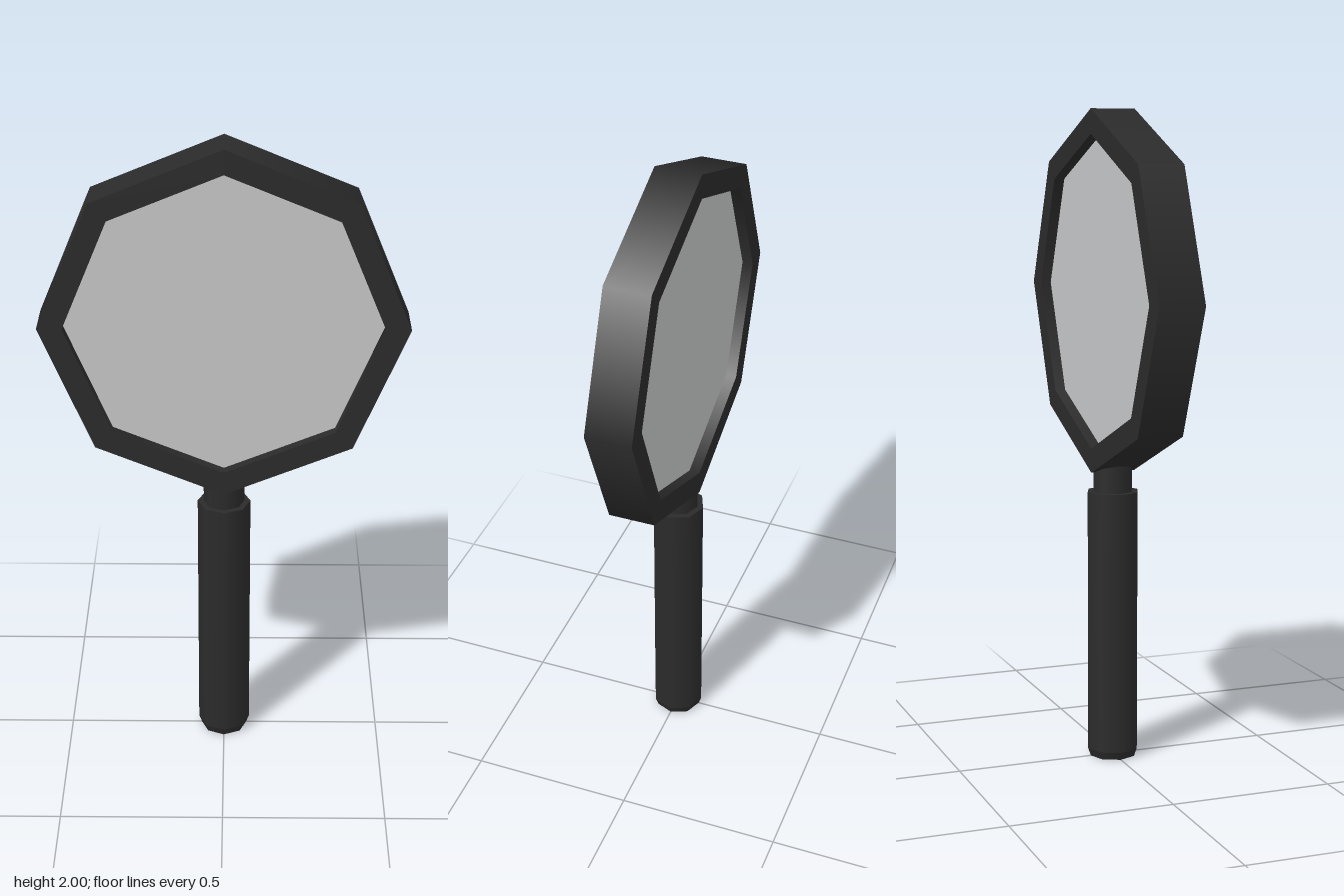
import * as THREE from 'three';
import { mergeGeometries } from 'three/addons/utils/BufferGeometryUtils.js';

const SIDES = 8;

// Revolves each profile segment separately: smooth around the axis, sharp between bands.
function turned(profile) {
  const bands = [];
  for (let i = 0; i < profile.length - 1; i++) {
    const pts = [profile[i], profile[i + 1]].map(([r, y]) => new THREE.Vector2(r, y));
    bands.push(new THREE.LatheGeometry(pts, SIDES));
  }
  return mergeGeometries(bands);
}

export function createModel() {
  const black = new THREE.MeshStandardMaterial({ color: 0x2b2b2b });
  black.name = 'black plastic';
  const glass = new THREE.MeshStandardMaterial({ color: 0xc6c7c8 });
  glass.name = 'pale glass';

  const group = new THREE.Group();
  group.name = 'magnifyingGlass';
  const add = (name, geometry, material, y = 0) => {
    const mesh = new THREE.Mesh(geometry, material);
    mesh.name = name;
    mesh.position.y = y;
    group.add(mesh);
  };

  // Octagonal rim, a closed rectangular section facing front and back
  const rim = turned([[0.475, -0.07], [0.55, -0.07], [0.55, 0.07], [0.475, 0.07], [0.475, -0.07]]);
  add('rim', rim.rotateX(Math.PI / 2), black, 1.45);

  // Lens, slightly recessed on both sides
  const lens = turned([[0, -0.037], [0.475, -0.037], [0.475, 0.037], [0, 0.037]]);
  add('lens', lens.rotateX(Math.PI / 2), glass, 1.45);

  // Neck between the handle and the rim
  add('neck', turned([[0, 0.83], [0.063, 0.83], [0.063, 0.94], [0, 0.94]]), black);

  // Handle with a small chamfer at the foot
  add('handle', turned([[0, 0], [0.073, 0], [0.082, 0.025], [0.082, 0.84], [0, 0.84]]), black);

  return group;
}
